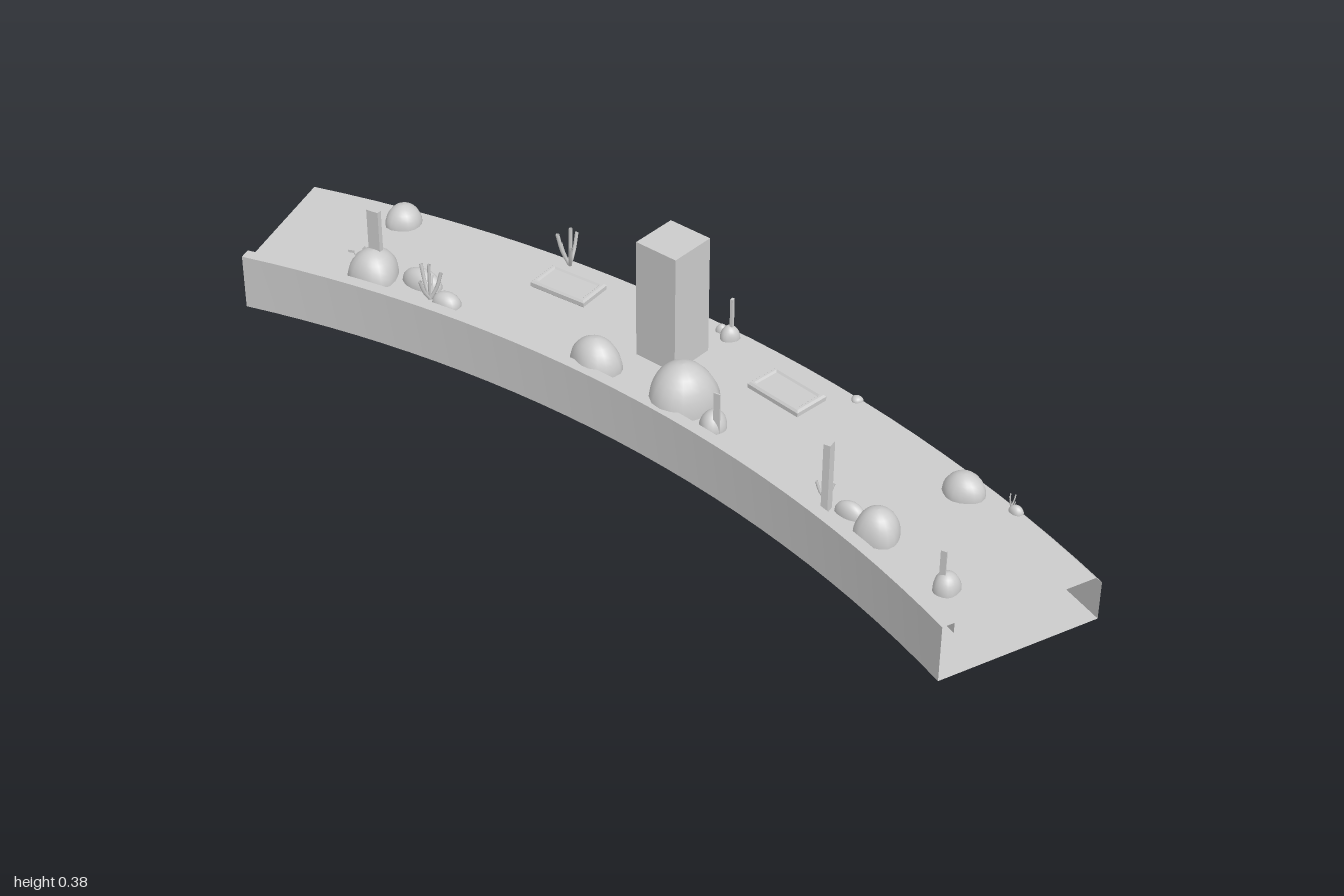
import * as THREE from 'three';
import { toCreasedNormals } from 'three/addons/utils/BufferGeometryUtils.js';

const mat = new THREE.MeshStandardMaterial({ color: 0xcccccc });
const shellMat = new THREE.MeshStandardMaterial({ color: 0xcccccc, side: THREE.DoubleSide });
const CX = -0.55, CZ = 2.64;            // centre of the curved deck
const DECK = 0.102;

export function createModel() {
  const model = new THREE.Group();
  const add = (name, geo, x = 0, y = 0, z = 0, ry = 0, m = mat) => {
    const mesh = new THREE.Mesh(geo, m);
    mesh.name = name;
    mesh.position.set(x, y, z);
    mesh.rotation.y = ry;
    model.add(mesh);
    return mesh;
  };
  // turn that lines a part up with the arc
  const along = (x, z) => -Math.atan2(x - CX, CZ - z);

  // Curved hollow base, open at both ends, with a front rim and a chamfered back edge
  const profile = [[2.65, 0], [3, 0], [3, 0.086], [2.985, DECK], [2.676, DECK],
    [2.676, 0.125], [2.65, 0.125], [2.65, 0]].map(p => new THREE.Vector2(...p));
  const a0 = THREE.MathUtils.degToRad(-8.63), a1 = THREE.MathUtils.degToRad(31.1);
  const base = new THREE.LatheGeometry(profile, 28, Math.PI - a1, a1 - a0);
  add('curvedBase', toCreasedNormals(base, 0.4), CX, 0, CZ, 0, shellMat);

  // Square tower
  add('tower', new THREE.BoxGeometry(0.1, 0.266, 0.104), -0.007, 0.247, -0.138, along(-0.007, -0.138));

  // Framed panels raised over the deck
  const rect = (S, w, h) => {
    const s = new S();
    s.moveTo(-w / 2, -h / 2);
    s.lineTo(w / 2, -h / 2);
    s.lineTo(w / 2, h / 2);
    s.lineTo(-w / 2, h / 2);
    s.closePath();
    return s;
  };
  for (const [x, z] of [[-0.275, -0.184], [0.28, -0.077]]) {
    const frame = rect(THREE.Shape, 0.126, 0.072);
    frame.holes.push(rect(THREE.Path, 0.116, 0.062));
    const geo = new THREE.ExtrudeGeometry(frame, {
      depth: 0.009, bevelEnabled: true, bevelThickness: 0.004, bevelSize: 0.004, bevelSegments: 1 });
    geo.rotateX(-Math.PI / 2);
    add('panelFrame', geo, x, 0.153, z, along(x, z));
    add('panel', new THREE.BoxGeometry(0.116, 0.011, 0.062), x, 0.157, z, along(x, z));
  }

  // Boulders: lumpy domes sunk into the deck [x, z, radius x, radius z, top]
  const boulders = [
    [-0.75, -0.29, 0.039, 0.041, 0.145], [-0.69, -0.09, 0.054, 0.055, 0.163],
    [-0.585, -0.11, 0.048, 0.026, 0.138], [-0.5, -0.072, 0.034, 0.024, 0.13],
    [-0.125, -0.038, 0.056, 0.046, 0.168], [0.085, -0.015, 0.07, 0.07, 0.194],
    [0.175, 0.025, 0.026, 0.03, 0.14], [0.06, -0.256, 0.02, 0.02, 0.13],
    [0.035, -0.268, 0.012, 0.011, 0.118], [0.68, -0.028, 0.042, 0.037, 0.145],
    [0.595, 0.168, 0.046, 0.044, 0.162], [0.525, 0.138, 0.032, 0.018, 0.13],
    [0.77, 0.245, 0.027, 0.028, 0.139], [0.79, -0.02, 0.015, 0.011, 0.117],
    [0.378, -0.19, 0.012, 0.011, 0.112]];
  boulders.forEach(([x, z, rx, rz, top], i) => {
    const geo = new THREE.SphereGeometry(1, 18, 9, 0, Math.PI * 2, 0, Math.PI * 0.56);
    const p = geo.attributes.position;
    for (let k = 0; k < p.count; k++) {
      const px = p.getX(k), py = p.getY(k), pz = p.getZ(k);
      const lump = 1 + 0.09 * Math.sin(3 * px + i * 1.7) * Math.cos(2.5 * pz + i) * (1 - py * py);
      p.setXYZ(k, px * lump * rx, py * (top - DECK), pz * lump * rz);
    }
    geo.computeVertexNormals();
    add('boulder', geo, x, DECK, z);
  });

  // Upright posts [x, z, width x, width z, top]
  const posts = [
    [-0.69, -0.1, 0.028, 0.012, 0.255], [0.48, 0.147, 0.014, 0.02, 0.257],
    [0.19, 0.04, 0.014, 0.003, 0.195], [0.063, -0.258, 0.006, 0.008, 0.195],
    [0.763, 0.251, 0.012, 0.003, 0.19]];
  for (const [x, z, wx, wz, top] of posts)
    add('post', new THREE.BoxGeometry(wx, top - DECK, wz), x, (top + DECK) / 2, z);

  // Branching corals [x, z, height]
  const corals = [[-0.355, -0.322, 0.092], [-0.54, -0.072, 0.086], [0.465, 0.122, 0.064], [0.775, -0.03, 0.03]];
  corals.forEach(([x, z, h], c) => {
    const coral = new THREE.Group();
    coral.name = 'coral';
    coral.position.set(x, DECK, z);
    for (let i = 0; i < 5; i++) {
      const a = i * 2.4 + c, r = i ? h * 0.28 : 0.003, top = h * (1 - 0.13 * i);
      const path = new THREE.CatmullRomCurve3([
        new THREE.Vector3(0, 0, 0),
        new THREE.Vector3(Math.cos(a) * r * 0.6, top * 0.45, Math.sin(a) * r * 0.6),
        new THREE.Vector3(Math.cos(a) * r, top, Math.sin(a) * r)]);
      const branch = new THREE.Mesh(new THREE.TubeGeometry(path, 6, h * 0.045, 6), shellMat);
      branch.name = 'coralBranch';
      coral.add(branch);
    }
    model.add(coral);
  });

  // Starfish lying on the deck
  const star = new THREE.Shape();
  for (let i = 0; i < 10; i++) {
    const a = i * Math.PI / 5, r = i % 2 ? 0.009 : 0.02;
    star[i ? 'lineTo' : 'moveTo'](Math.cos(a) * r, Math.sin(a) * r);
  }
  const starGeo = new THREE.ExtrudeGeometry(star, { depth: 0.006, bevelEnabled: false });
  starGeo.rotateX(-Math.PI / 2);
  add('starfish', starGeo, -0.77, DECK, -0.145);

  return model;
}
